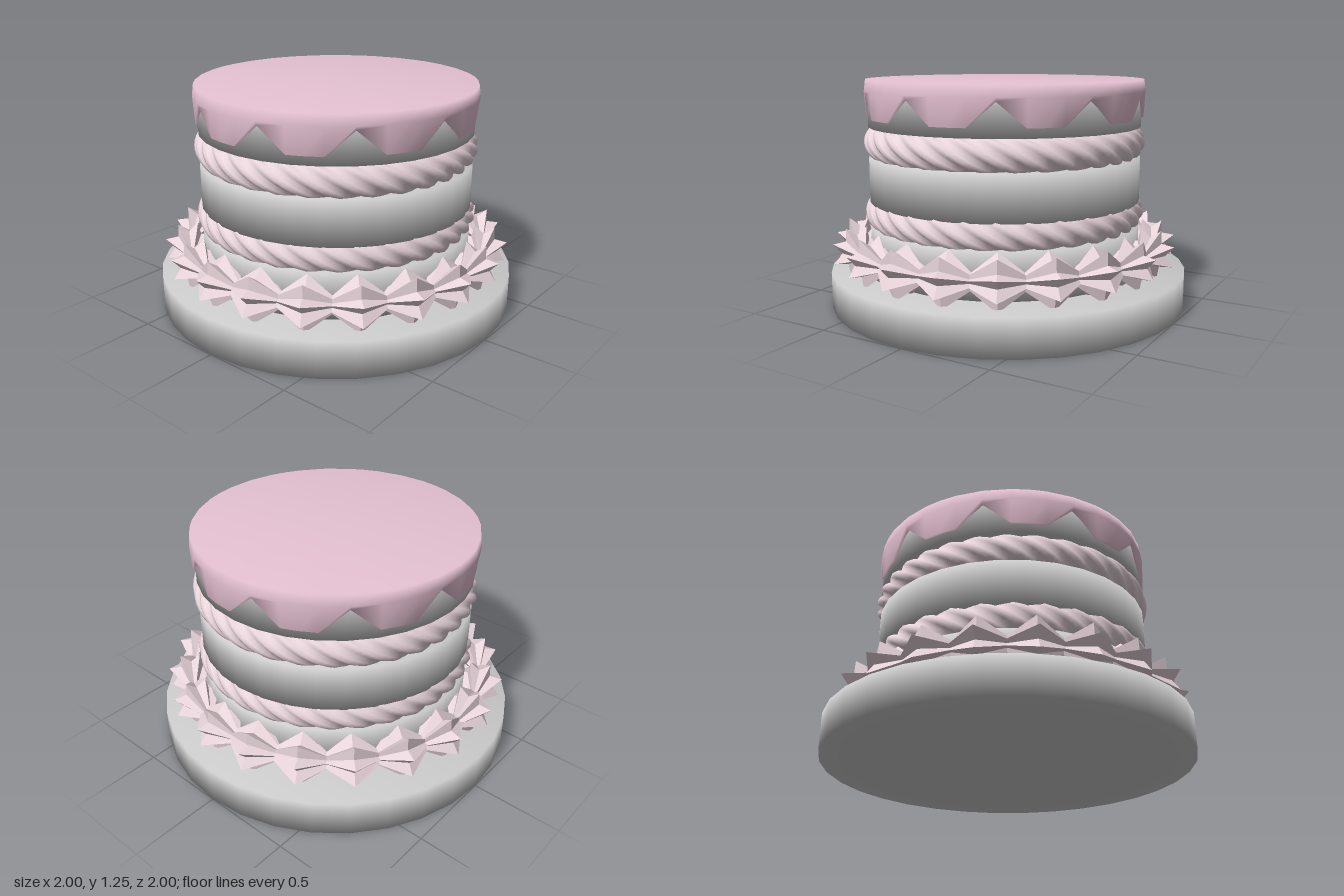
import * as THREE from 'three';
import { mergeVertices } from 'three/addons/utils/BufferGeometryUtils.js';

const TAU = Math.PI * 2;
const sponge = new THREE.MeshStandardMaterial({ color: 0xcccccc });
const icingPink = new THREE.MeshStandardMaterial({ color: 0xe6c2d2, side: THREE.DoubleSide });
const creamPink = new THREE.MeshStandardMaterial({ color: 0xe8d5db, side: THREE.DoubleSide });
const shellPink = new THREE.MeshStandardMaterial({ color: 0xe8d5db, flatShading: true });

// Weld shared corners so the shading runs smoothly over the edges
function weld(geometry) {
  geometry.deleteAttribute('normal');
  geometry.deleteAttribute('uv');
  const welded = mergeVertices(geometry, 1e-4);
  welded.computeVertexNormals();
  return welded;
}

// Surface of nu x nv quads; fn(i, j) gives [angle around y, radius, height]
function roundGrid(nu, nv, fn) {
  const pos = [], index = [];
  for (let i = 0; i <= nu; i++) {
    for (let j = 0; j <= nv; j++) {
      const [phi, r, y] = fn(i, j);
      pos.push(r * Math.sin(phi), y, r * Math.cos(phi));
      if (i === nu || j === nv) continue;
      const a = i * (nv + 1) + j, b = a + nv + 1;
      index.push(a, b, b + 1, a, b + 1, a + 1);
    }
  }
  const g = new THREE.BufferGeometry();
  g.setAttribute('position', new THREE.Float32BufferAttribute(pos, 3));
  g.setIndex(index);
  return weld(g);
}

function add(parent, name, geometry, material) {
  const mesh = new THREE.Mesh(geometry, material);
  mesh.name = name;
  parent.add(mesh);
  return mesh;
}

function disc(parent, name, radius, y0, y1) {
  const g = weld(new THREE.CylinderGeometry(radius, radius, y1 - y0, 32));
  add(parent, name, g, sponge).position.y = (y0 + y1) / 2;
}

// Twisted cream rope: six rounded strands making five turns
function rope(y) {
  const nu = 160, nv = 24, strands = 6, turns = 5;
  return roundGrid(nu, nv, (i, j) => {
    const phi = i / nu * TAU, v = j / nv * TAU, a = v - turns * phi;
    const r = 0.076 + 0.024 * Math.abs(Math.sin(v * strands / 2));
    return [phi, 0.68 + r * Math.cos(a), y + r * Math.sin(a)];
  });
}

// Ring of piped shells: an eight-pointed star that swells and pinches
function shellRing() {
  const count = 20, points = 8;
  return roundGrid(count * 2, points * 2, (i, j) => {
    const phi = (i + 1.2) / (count * 2) * TAU;
    const a = j / (points * 2) * TAU + 0.32;
    const r = (i % 2 ? 0.045 : 0.145) * (j % 2 ? 0.62 : 1);
    return [phi, 0.83 + r * Math.cos(a), 0.32 + r * Math.sin(a)];
  });
}

// Icing cap: flat top and a skirt with ten notches
function icing() {
  const steps = [-11, 0, 11, 18]; // degrees from the notch peak
  return roundGrid(40, 4, (i, j) => {
    const deg = steps[i % 4] + 36 * Math.floor(i / 4) + 10;
    const hem = i % 4 === 1 ? 1.17 : 1.045;
    const [r, y] = [[0.74, hem], [0.768, hem], [0.776, 1.19], [0.768, 1.25], [0, 1.25]][j];
    return [deg * TAU / 360, r, y];
  });
}

export function createModel() {
  const model = new THREE.Group();
  model.name = 'cake';
  disc(model, 'plate', 1, 0, 0.2);

  const cake = new THREE.Group();
  cake.name = 'cakeBody';
  cake.position.set(0.015, 0, 0.015);
  model.add(cake);

  // Sponge layers
  disc(cake, 'bottomLayer', 0.757, 0.2, 0.45);
  disc(cake, 'middleLayer', 0.757, 0.585, 0.83);
  disc(cake, 'topLayer', 0.757, 0.995, 1.24);

  // Cream between the layers
  add(cake, 'lowerCream', rope(0.525), creamPink);
  add(cake, 'upperCream', rope(0.91), creamPink);

  add(cake, 'icing', icing(), icingPink);
  add(cake, 'pipedShells', shellRing(), shellPink);
  return model;
}
